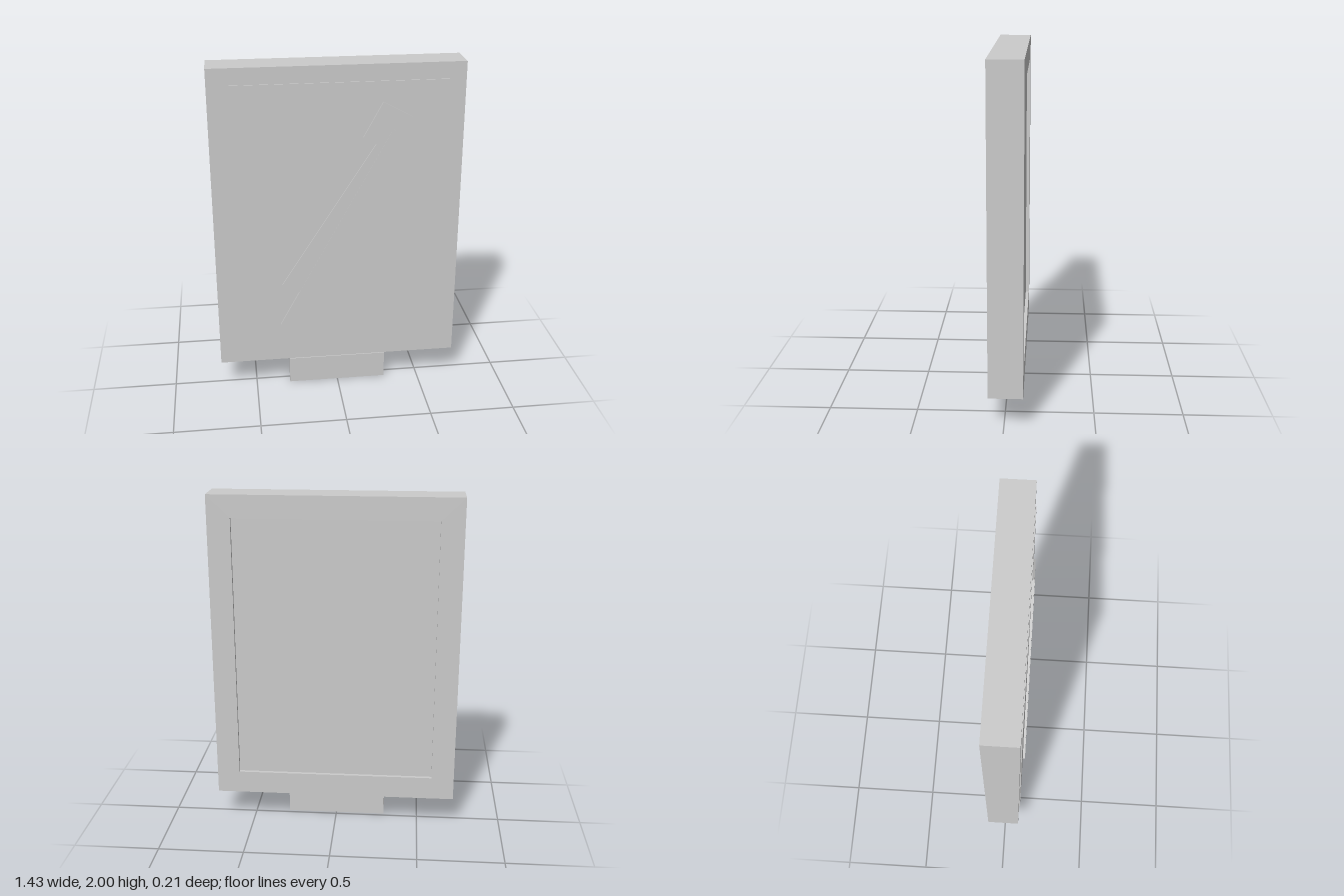
import * as THREE from 'three';

const material = new THREE.MeshStandardMaterial({ color: 0xcccccc, flatShading: true });

// Box given by its extents
function slab(name, [x0, x1], [y0, y1], [z0, z1]) {
  const mesh = new THREE.Mesh(new THREE.BoxGeometry(x1 - x0, y1 - y0, z1 - z0), material);
  mesh.position.set((x0 + x1) / 2, (y0 + y1) / 2, (z0 + z1) / 2);
  mesh.name = name;
  return mesh;
}

const outline = (points) => points.map(([x, y]) => new THREE.Vector2(x, y));

// Flat outline extruded between two depths
function plate(name, points, z0, z1, hole) {
  const shape = new THREE.Shape(outline(points));
  if (hole) shape.holes.push(new THREE.Path(outline(hole)));
  const geometry = new THREE.ExtrudeGeometry(shape, { depth: z1 - z0, bevelEnabled: false });
  geometry.translate(0, 0, z0);
  const mesh = new THREE.Mesh(geometry, material);
  mesh.name = name;
  return mesh;
}

const rect = (w, y0, y1) => [[-w, y0], [w, y0], [w, y1], [-w, y1]];

export function createModel() {
  const model = new THREE.Group();
  model.name = 'hangingSign';

  // Deep frame, open at the back, with a shallow recessed back panel
  model.add(plate('frame', rect(0.713, 0.185, 2), -0.106, 0.086, rect(0.58, 0.32, 1.87)));
  model.add(slab('backPanel', [-0.58, 0.58], [0.32, 1.87], [-0.086, 0.08]));

  // Slightly raised front face
  model.add(slab('frontPanel', [-0.617, 0.617], [0.28, 1.905], [0.08, 0.092]));

  // Slanted emblem: square head, tapered body and a thin rod along its length
  const emblem = new THREE.Group();
  emblem.name = 'emblem';
  emblem.add(plate('emblemHead', [[0.25, 1.79], [0.14, 1.59], [0.305, 1.5], [0.415, 1.7]], 0.085, 0.104));
  emblem.add(plate('emblemBody', [[0.215, 1.55], [-0.33, 0.7], [-0.105, 0.58], [0.305, 1.5]], 0.085, 0.104));
  emblem.add(plate('emblemRod', [[-0.345, 0.437], [-0.312, 0.42], [0.34, 1.615], [0.307, 1.632]], 0.085, 0.106));
  model.add(emblem);

  // Small plaque below the frame
  model.add(slab('lowerPlaque', [-0.295, 0.293], [0, 0.165], [0.02, 0.06]));

  return model;
}
